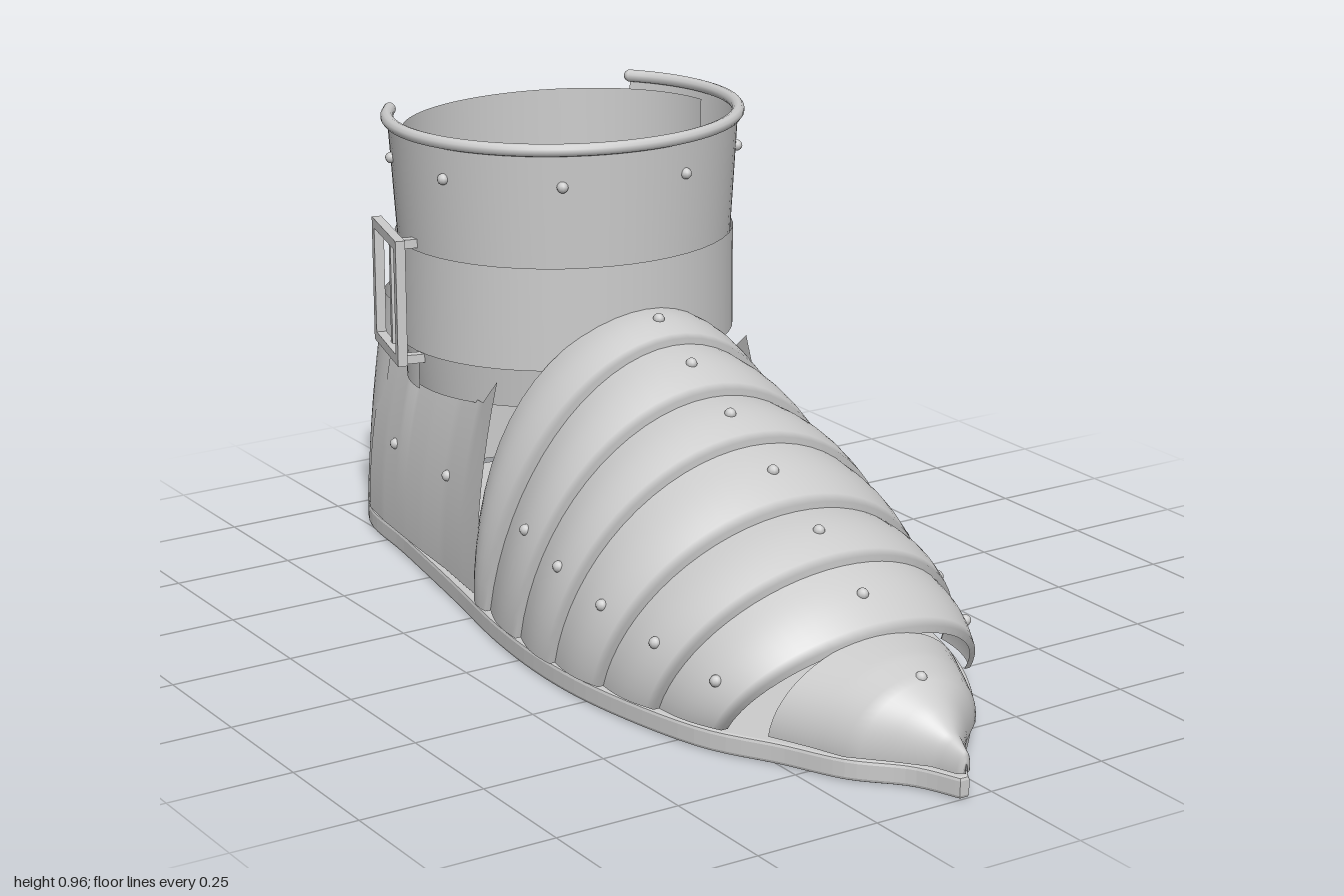
import * as THREE from 'three';
import { ParametricGeometry } from 'three/addons/geometries/ParametricGeometry.js';

const steel = new THREE.MeshStandardMaterial({ color: 0xcccccc, side: THREE.DoubleSide });
steel.name = 'steel grey';
const { lerp } = THREE.MathUtils;
const BASE = 0.047;

export function createModel() {
  const model = new THREE.Group();
  model.name = 'armouredShoe';

  function add(name, geometry) {
    const mesh = new THREE.Mesh(geometry, steel);
    mesh.name = name;
    model.add(mesh);
    return mesh;
  }
  const surface = (name, point, nu, nv) =>
    add(name, new ParametricGeometry((u, v, p) => p.set(...point(u, v)), nu, nv));
  const rivetShape = new THREE.SphereGeometry(0.0115, 10, 8);
  const rivet = (p) => add('rivet', rivetShape).position.set(...p);
  // Interpolates rows of numbers at t in 0..1
  function sample(rows, t) {
    const f = Math.min(t * (rows.length - 1), rows.length - 1.0001);
    const i = Math.floor(f);
    return rows[i].map((a, k) => lerp(a, rows[i + 1][k], f - i));
  }

  // Sole: leaf outline with a blunt heel, as [x, z]
  const rightEdge = [[-0.05, 1], [-0.02, 0.95], [0.03, 0.88], [0.12, 0.78], [0.2, 0.68], [0.28, 0.52],
    [0.345, 0.3], [0.372, 0.12], [0.372, -0.1], [0.36, -0.35], [0.33, -0.65], [0.29, -0.85], [0.24, -0.975]];
  const leftEdge = [[-0.17, -0.995], [-0.25, -0.85], [-0.28, -0.65], [-0.33, -0.35], [-0.375, -0.1],
    [-0.393, 0.12], [-0.38, 0.32], [-0.33, 0.55], [-0.25, 0.7], [-0.19, 0.82], [-0.11, 0.91], [-0.07, 1]];
  const outline = new THREE.Shape();
  const vec = (p) => new THREE.Vector2(...p);
  outline.moveTo(...rightEdge[0]);
  outline.splineThru(rightEdge.slice(1).map(vec));
  outline.lineTo(...leftEdge[0]);
  outline.splineThru(leftEdge.slice(1).map(vec));
  const soleGeometry = new THREE.ExtrudeGeometry(outline, {
    depth: 0.028, bevelThickness: 0.007, bevelSize: 0.006, bevelOffset: -0.006, bevelSegments: 2, curveSegments: 5,
  });
  add('sole', soleGeometry.rotateX(Math.PI / 2).translate(0, 0.035, 0));

  // Arched plate edges from ankle to toe: base z, crown z, left x, right x, crown height, lean exponent
  const edges = [
    [-0.255, -0.168, -0.335, 0.365, 0.608, 4], [-0.16, -0.045, -0.365, 0.37, 0.575, 1],
    [0, 0.1, -0.39, 0.378, 0.508, 1], [0.15, 0.25, -0.403, 0.378, 0.452, 1],
    [0.3, 0.41, -0.388, 0.352, 0.368, 1], [0.45, 0.57, -0.36, 0.312, 0.31, 1], [0.6, 0.705, -0.31, 0.255, 0.212, 1]];
  function archPoint([zb, zt, xl, xr, h, lean], angle, grow) {
    const s = Math.max(Math.sin(angle), 0);
    return [(xl + xr) / 2 + ((xr - xl) / 2 + grow) * Math.cos(angle),
      BASE + (h - BASE + grow) * s, lerp(zb, zt, s ** lean)];
  }
  for (let i = 0; i < 6; i++) {
    const pair = [edges[i], edges[i + 1]];
    const plate = (t, angle) =>
      archPoint(sample(pair, t), angle, lerp(i ? -0.012 : 0, 0, t) + 0.01 * Math.sin(Math.PI * t));
    // The last step folds inward to give the front edge its thickness
    surface('archPlate', (u, v) => v > 0.95
      ? archPoint(pair[1], Math.PI * u, -0.014)
      : plate(v / 0.9, Math.PI * u), 32, 10);
    rivet(plate(0.5, Math.PI / 2));
    if (i) [0.43, Math.PI - 0.43].forEach((a) => rivet(plate(0.55, a)));
  }

  // Pointed toe cap: z, left x, right x, crown height
  const toe = [[0.67, -0.255, 0.175, 0.208], [0.75, -0.22, 0.135, 0.198], [0.82, -0.195, 0.1, 0.182],
    [0.88, -0.14, 0.035, 0.15], [0.94, -0.09, -0.02, 0.108], [0.99, -0.072, -0.042, 0.088], [1, -0.058, -0.056, 0.06]];
  surface('toeCap', (u, v) => {
    const [z, xl, xr, h] = sample(toe, v);
    return archPoint([z, z + 0.03 * (1 - v), xl, xr, h, 1], Math.PI * u, 0);
  }, 28, 18);
  rivet([-0.045, 0.175, 0.845]);

  // Side plates: z, right x, left x, top height
  const sides = [[-0.245, 0.365, -0.335, 0.485], [-0.32, 0.36, -0.325, 0.42], [-0.42, 0.352, -0.31, 0.41],
    [-0.53, 0.345, -0.3, 0.41], [-0.62, 0.34, -0.29, 0.41], [-0.66, 0.333, -0.285, 0.44],
    [-0.74, 0.322, -0.275, 0.415], [-0.84, 0.296, -0.255, 0.41]];
  for (const side of [1, 2]) {
    const sign = side === 1 ? 1 : -1;
    const wall = (u, v) => {
      const row = sample(sides, u);
      return [row[side] - sign * 0.055 * v * v, lerp(BASE, row[3], v), row[0]];
    };
    surface('sidePlate', wall, 28, 8);
    rivet(wall(0.3, 0.53));
    rivet(wall(0.78, 0.48));
  }

  // Rounded heel counter, narrower at the top
  surface('heelCounter', (u, v) => {
    const a = Math.PI * u;
    const front = lerp(-0.835, -0.77, v);
    return [0.03 + lerp(0.275, 0.24, v * v) * Math.cos(a), lerp(BASE, 0.508, v),
      front - (front + 0.995) * Math.max(Math.sin(a), 0) ** 0.85];
  }, 32, 8);

  // Ankle cuff: angle 0 faces the front, positive towards the left side
  const CX = 0.025, CZ = -0.49;
  const ringPoint = (a, y, rx, rz) => [CX + rx * Math.sin(a), y, CZ + rz * Math.cos(a)];
  function shell(name, from, to, y0, y1, r0, r1) {
    surface(name, (u, v) => ringPoint(lerp(from, to, u), lerp(y0, y1, v),
      lerp(r0[0], r1[0], v), lerp(r0[1], r1[1], v)), 48, 2);
  }
  const END = 2.22;
  shell('frontCuff', -END, END, 0.69, 0.945, [0.345, 0.325], [0.362, 0.338]);
  shell('lowerCuff', -END, END, 0.41, 0.5, [0.328, 0.295], [0.34, 0.31]);
  shell('backCuff', 1.6, Math.PI * 2 - 1.6, 0.41, 0.925, [0.34, 0.281], [0.34, 0.281]);
  shell('ankleStrap', -Math.PI, Math.PI, 0.495, 0.705, [0.351, 0.331], [0.351, 0.331]);

  const rimPoints = [];
  for (let i = 0; i <= 32; i++) {
    rimPoints.push(new THREE.Vector3(...ringPoint(lerp(-END, END, i / 32), 0.945, 0.362, 0.338)));
  }
  add('cuffRim', new THREE.TubeGeometry(new THREE.CatmullRomCurve3(rimPoints), 64, 0.013, 10));
  for (const end of [0, 32]) add('rimEnd', new THREE.SphereGeometry(0.013, 10, 8)).position.copy(rimPoints[end]);
  [-1.9, -1.25, -0.52, 0.24, 1, 1.73].forEach((a) => rivet(ringPoint(a, 0.87, 0.359, 0.335)));

  // Strap buckle on the right side: frame, pin and mounting lugs
  const buckle = new THREE.Group();
  buckle.name = 'buckle';
  function bar(name, w, h, d, x, y, z) {
    const mesh = new THREE.Mesh(new THREE.BoxGeometry(w, h, d), steel);
    mesh.name = name;
    mesh.position.set(x, y, z);
    buckle.add(mesh);
  }
  for (const s of [-1, 1]) {
    bar('buckleUpright', 0.02, 0.26, 0.02, 0, 0, s * 0.095);
    bar('buckleCrossbar', 0.02, 0.02, 0.2, 0, s * 0.12, 0);
    bar('buckleLug', 0.045, 0.018, 0.02, 0.025, s * 0.12, 0.085);
  }
  bar('bucklePin', 0.012, 0.24, 0.014, 0.008, 0, 0);
  buckle.position.set(-0.332, 0.598, -0.585);
  buckle.rotation.y = -0.27;
  model.add(buckle);

  return model;
}
